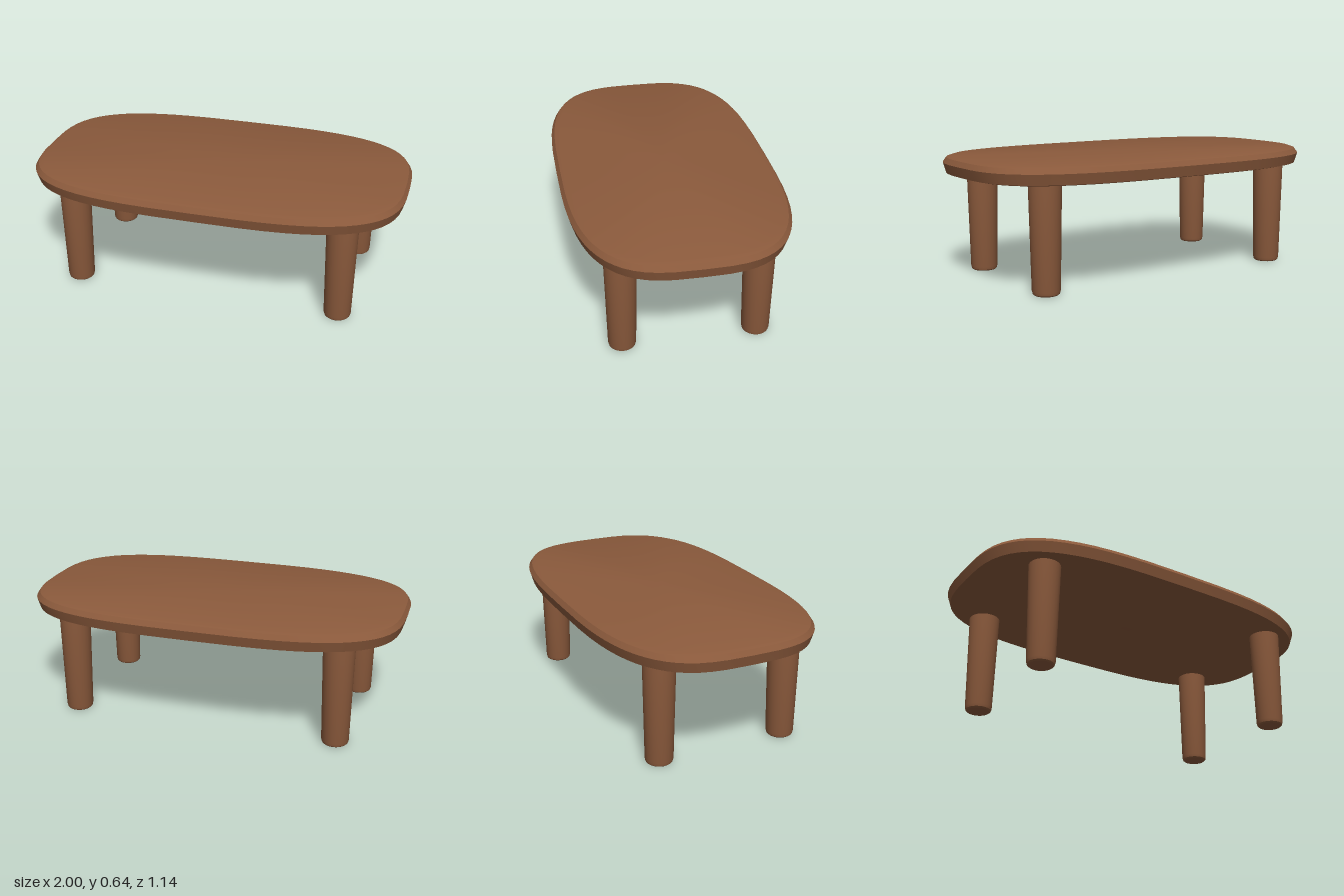
import * as THREE from 'three';
import { toCreasedNormals } from 'three/addons/utils/BufferGeometryUtils.js';

const HALF_X = 1, HALF_Z = 0.57, POWER = 3.2;
const CREASE = THREE.MathUtils.degToRad(35);

// Lathe from [radius, height] pairs, listed bottom to top
const lathe = (profile, sides) =>
  new THREE.LatheGeometry(profile.map(([r, y]) => new THREE.Vector2(r, y)), sides);

// Rounded slab: each lathe ring is reshaped into a superellipse
function tabletopGeometry() {
  const geo = lathe([
    [0, 0.545], [0.955, 0.545], [0.985, 0.552], [1, 0.606],
    [0.983, 0.632], [0.955, 0.642], [0, 0.643],
  ], 64);
  const pos = geo.attributes.position;
  const bend = (v) => Math.sign(v) * Math.pow(Math.abs(v), 2 / POWER);
  for (let i = 0; i < pos.count; i++) {
    const x = pos.getX(i), z = pos.getZ(i);
    const r = Math.hypot(x, z);
    if (r < 1e-6) continue;
    // Keep the edge inset equal on the long and short sides
    const halfZ = r - (HALF_X - HALF_Z);
    pos.setX(i, r * bend(x / r));
    pos.setZ(i, halfZ * bend(z / r));
  }
  return toCreasedNormals(geo, CREASE);
}

export function createModel() {
  const model = new THREE.Group();
  model.name = 'coffeeTable';
  const wood = new THREE.MeshStandardMaterial({ color: 0x8b5a3c });
  wood.name = 'walnut brown';

  const top = new THREE.Mesh(tabletopGeometry(), wood);
  top.name = 'tabletop';
  model.add(top);

  // Four tapered round legs with softened feet
  const legGeo = toCreasedNormals(lathe([
    [0, 0], [0.06, 0], [0.067, 0.006], [0.071, 0.022], [0.082, 0.55], [0, 0.55],
  ], 24), CREASE);
  for (const sx of [-1, 1]) {
    for (const sz of [-1, 1]) {
      const leg = new THREE.Mesh(legGeo, wood);
      leg.name = (sz > 0 ? 'front' : 'back') + (sx > 0 ? 'Left' : 'Right') + 'Leg';
      leg.position.set(sx * 0.715, 0, sz * 0.344);
      model.add(leg);
    }
  }
  return model;
}
